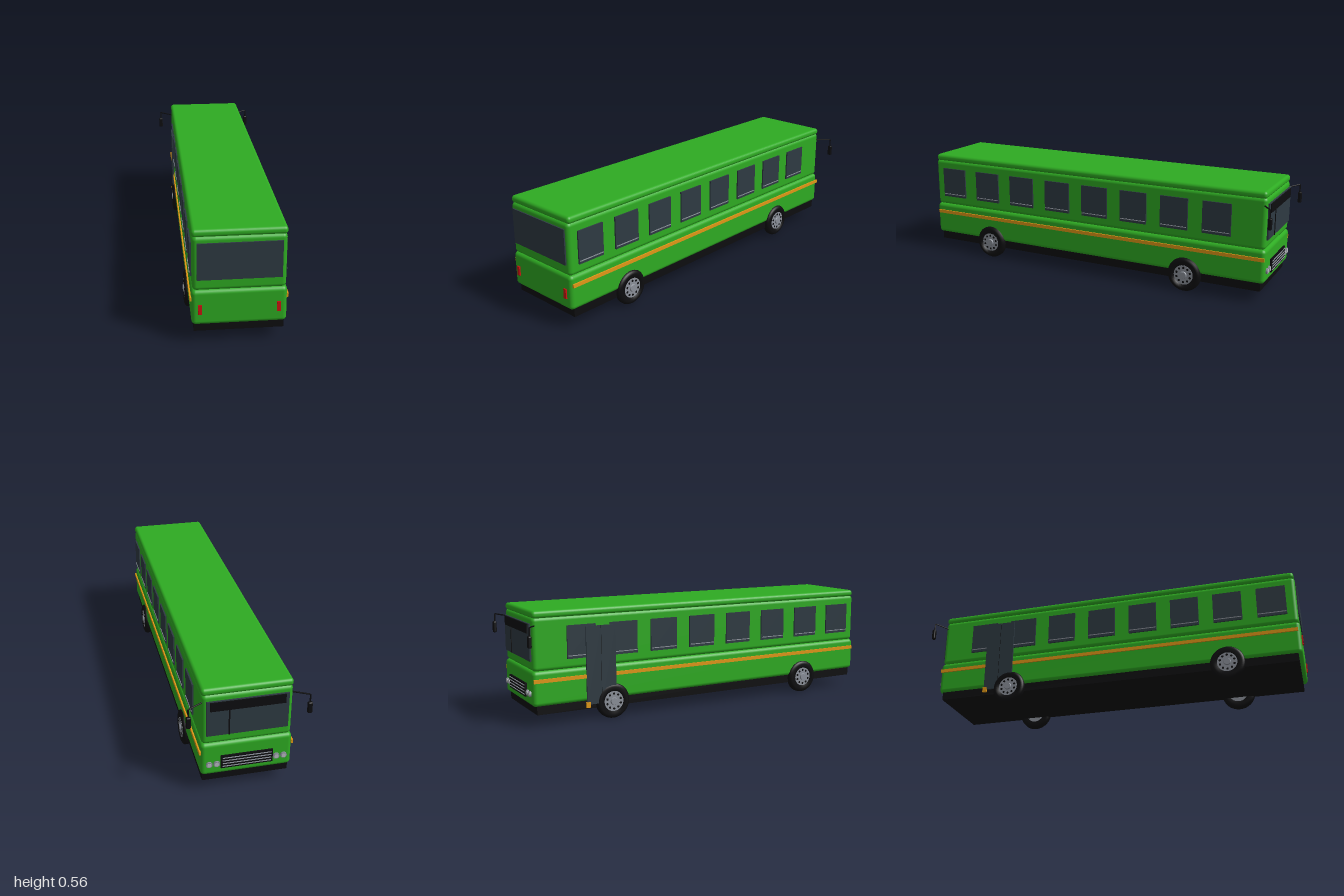
import * as THREE from 'three';
import { RoundedBoxGeometry } from 'three/addons/geometries/RoundedBoxGeometry.js';

const mat = (name, color) => {
  const m = new THREE.MeshStandardMaterial({ color });
  m.name = name;
  return m;
};

export function createModel() {
  const bus = new THREE.Group();
  bus.name = 'bus';
  const green = mat('body green', 0x2eab22);
  const glass = mat('dark glass', 0x2e3a42);
  const black = mat('trim black', 0x0d0d0f);
  const orange = mat('stripe orange', 0xe09816);
  const red = mat('lamp red', 0xcc1410);
  const grey = mat('wheel grey', 0x8b9099);
  const silver = mat('light silver', 0xb4b8bc);

  const add = (name, geometry, material, x = 0, y = 0, z = 0, parent = bus) => {
    const m = new THREE.Mesh(geometry, material);
    m.name = name;
    m.position.set(x, y, z);
    parent.add(m);
    return m;
  };
  // Boxes given by their limits on each axis
  const box = (name, material, [x0, x1], [y0, y1], [z0, z1], radius = 0) => {
    const size = [x1 - x0, y1 - y0, z1 - z0];
    const g = radius ? new RoundedBoxGeometry(...size, 4, radius) : new THREE.BoxGeometry(...size);
    return add(name, g, material, (x0 + x1) / 2, (y0 + y1) / 2, (z0 + z1) / 2);
  };
  const span = (centre, width) => [centre - width / 2, centre + width / 2];

  // Body shells
  box('chassis', black, [-0.203, 0.203], [0.06, 0.125], [-0.94, 0.968]);
  box('lowerBody', green, [-0.213, 0.213], [0.1, 0.273], [-0.96, 0.99], 0.02);
  box('upperBody', green, [-0.208, 0.208], [0.27, 0.53], [-0.955, 0.986], 0.02);
  box('roof', green, [-0.21, 0.21], [0.524, 0.56], [-0.953, 0.982], 0.016);

  // Side windows, rails and stripes
  for (const s of [-1, 1]) {
    for (let i = 0; i < 8; i++) {
      const z = 0.86 - i * 0.2243;
      box('sideWindow', glass, span(s * 0.2115, 0.008), [0.32, 0.483], span(z, 0.148));
      box('windowRail', grey, span(s * 0.2165, 0.004), [0.333, 0.337], span(z, 0.14));
    }
    box('sideStripe', orange, span(s * 0.2155, 0.009), [0.217, 0.235], [-0.957, 0.978]);
  }

  // Two-leaf door with its low marker lamp
  for (const z of [-0.652, -0.573]) {
    box('doorLeaf', glass, span(-0.219, 0.008), [0.085, 0.473], span(z, 0.077));
  }
  box('doorSeam', black, span(-0.219, 0.007), [0.085, 0.473], span(-0.6125, 0.004));
  box('doorMarker', orange, span(-0.221, 0.01), [0.07, 0.098], span(-0.685, 0.022));

  // Window and red lamps on the +z end
  box('endWindow', glass, [-0.188, 0.188], [0.326, 0.501], [0.984, 0.993]);
  for (const s of [-1, 1]) {
    box('redLamp', red, span(s * 0.175, 0.017), [0.157, 0.205], [0.988, 0.997]);
  }

  // Windscreen, sign board and grille on the -z end
  box('windscreen', glass, [-0.188, 0.188], [0.32, 0.5], [-0.963, -0.954]);
  box('windscreenBar', black, span(0.085, 0.006), [0.32, 0.455], [-0.966, -0.96]);
  box('signBoard', black, [-0.172, 0.172], [0.452, 0.497], [-0.968, -0.96]);
  box('grille', black, [-0.122, 0.122], [0.138, 0.205], [-0.969, -0.96]);
  for (let i = 0; i < 4; i++) {
    box('grilleBar', grey, [-0.114, 0.114], span(0.149 + i * 0.015, 0.003), [-0.973, -0.967]);
  }
  const lamp = new THREE.CylinderGeometry(0.015, 0.015, 0.009, 20).rotateX(Math.PI / 2);
  const lens = new THREE.CylinderGeometry(0.01, 0.01, 0.004, 20).rotateX(Math.PI / 2);
  for (const x of [-0.175, -0.14, 0.14, 0.175]) {
    add('headlampRim', lamp, grey, x, 0.162, -0.963);
    add('headlampLens', lens, silver, x, 0.162, -0.968);
  }

  // Mirrors on bent arms
  for (const s of [-1, 1]) {
    const points = [[0.2, 0.491, -0.94], [0.275, 0.496, -0.989], [0.275, 0.44, -0.989]]
      .map(([x, y, z]) => new THREE.Vector3(s * x, y, z));
    const path = new THREE.CurvePath();
    path.add(new THREE.LineCurve3(points[0], points[1]));
    path.add(new THREE.LineCurve3(points[1], points[2]));
    add('mirrorArm', new THREE.TubeGeometry(path, 24, 0.0035, 8), black);
    box('mirror', black, span(s * 0.275, 0.022), [0.4, 0.457], [-1, -0.982], 0.006);
  }

  // Wheels: rounded tyre, grey disc, ring of dark holes
  const tyreProfile = [[0.05, -0.018], [0.072, -0.021], [0.083, -0.016], [0.088, -0.008],
    [0.088, 0.008], [0.083, 0.016], [0.072, 0.021], [0.05, 0.018], [0.05, -0.018]]
    .map(([r, h]) => new THREE.Vector2(r, h));
  const tyre = new THREE.LatheGeometry(tyreProfile, 40);
  const disc = new THREE.CylinderGeometry(0.051, 0.051, 0.038, 32);
  const cap = new THREE.CylinderGeometry(0.016, 0.02, 0.008, 20);
  const hole = new THREE.CylinderGeometry(0.006, 0.006, 0.003, 12);
  for (const s of [-1, 1]) {
    for (const z of [0.62, -0.55]) {
      const wheel = new THREE.Group();
      wheel.name = 'wheel';
      wheel.position.set(s * 0.206, 0.088, z);
      wheel.rotation.z = -s * Math.PI / 2;
      bus.add(wheel);
      add('tyre', tyre, black, 0, 0, 0, wheel);
      add('wheelDisc', disc, grey, 0, 0, 0, wheel);
      add('hubCap', cap, grey, 0, 0.021, 0, wheel);
      for (let i = 0; i < 10; i++) {
        const a = i * Math.PI / 5;
        add('wheelHole', hole, black, 0.038 * Math.cos(a), 0.0185, 0.038 * Math.sin(a), wheel);
      }
    }
  }
  return bus;
}
